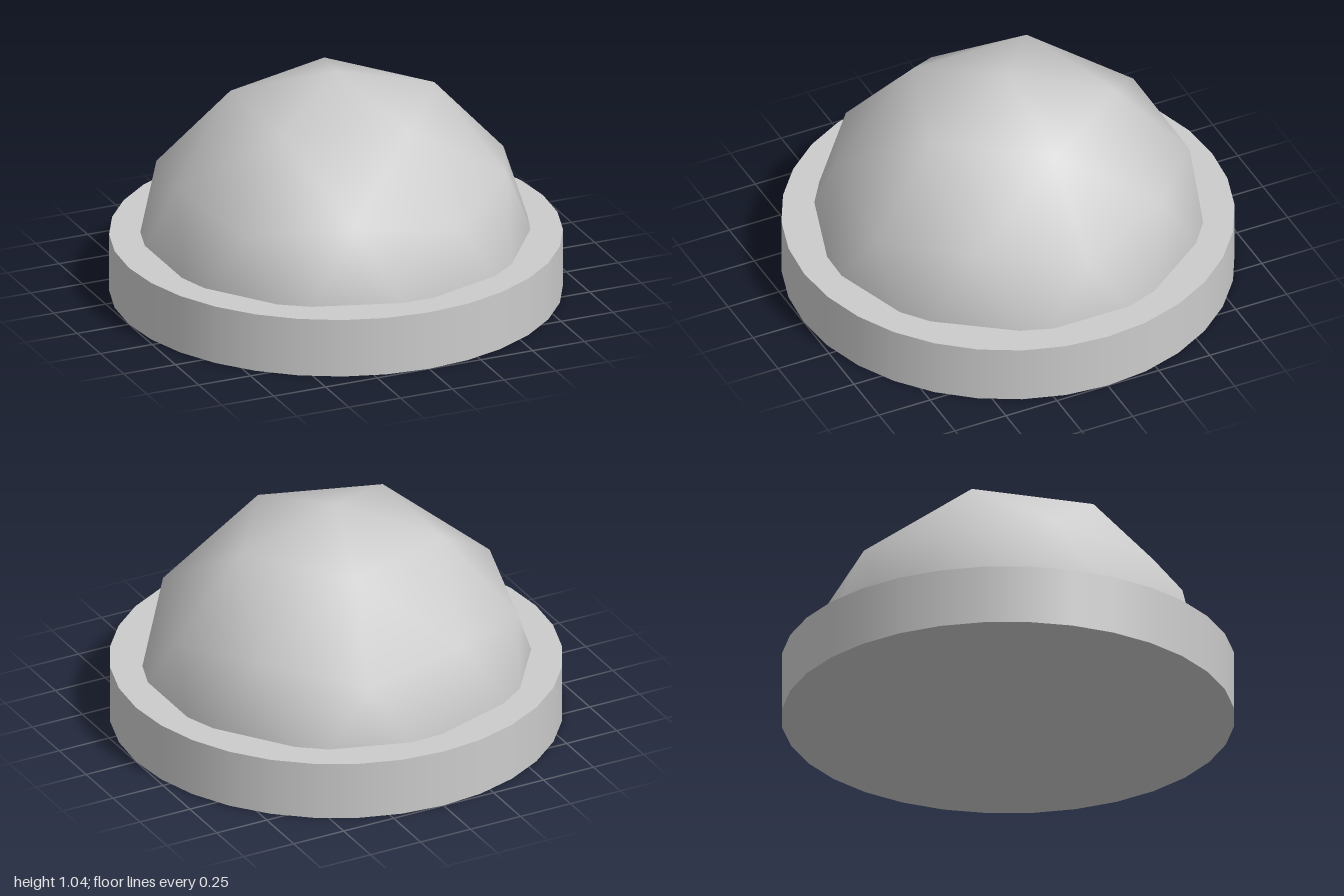
import * as THREE from 'three';

const BASE_HEIGHT = 0.27;
const DOME_RADIUS = 0.9035;
const DOME_CENTRE = 0.134;

// Upper half of a once-subdivided icosahedron standing on a vertex, smooth shaded
function domeGeometry() {
  const points = [];
  const index = [];
  const add = (elevation, degrees) => {
    const a = THREE.MathUtils.degToRad(degrees);
    const r = Math.sqrt(1 - elevation * elevation);
    points.push(new THREE.Vector3(r * Math.cos(a), elevation, -r * Math.sin(a)));
  };

  // Apex, ring of 5, staggered ring of 10, equator of 10
  add(1, 0);
  for (let k = 0; k < 5; k++) add(0.8507, 72 * k);
  for (let j = 0; j < 10; j++) add(j % 2 ? 0.5257 : 0.4472, 36 * j);
  for (let j = 0; j < 10; j++) add(0, 18 + 36 * j);
  const A = (k) => 1 + (k % 5);
  const B = (j) => 6 + (j % 10);
  const C = (j) => 16 + ((j + 10) % 10);

  for (let k = 0; k < 5; k++) {
    const m = B(2 * k + 1);
    index.push(0, A(k), A(k + 1));
    index.push(A(k), B(2 * k), m);
    index.push(A(k), m, A(k + 1));
    index.push(A(k + 1), m, B(2 * k + 2));
  }
  for (let j = 0; j < 10; j++) {
    index.push(B(j), C(j), B(j + 1));
    index.push(B(j), C(j - 1), C(j));
  }

  // On a unit sphere the points are also the normals
  const flat = points.flatMap((p) => p.toArray());
  const geometry = new THREE.BufferGeometry();
  geometry.setAttribute('position', new THREE.Float32BufferAttribute(flat, 3));
  geometry.setAttribute('normal', new THREE.Float32BufferAttribute(flat, 3));
  geometry.setIndex(index);
  geometry.scale(DOME_RADIUS, DOME_RADIUS, DOME_RADIUS);
  return geometry;
}

export function createModel() {
  const group = new THREE.Group();
  const material = new THREE.MeshStandardMaterial({ color: 0xcccccc });

  // Round base plate
  const base = new THREE.Mesh(new THREE.CylinderGeometry(1, 1, BASE_HEIGHT, 32), material);
  base.name = 'base';
  base.position.y = BASE_HEIGHT / 2;
  group.add(base);

  // Faceted dome, its rim sunk into the base
  const dome = new THREE.Mesh(domeGeometry(), material);
  dome.name = 'dome';
  dome.position.y = DOME_CENTRE;
  group.add(dome);

  return group;
}
